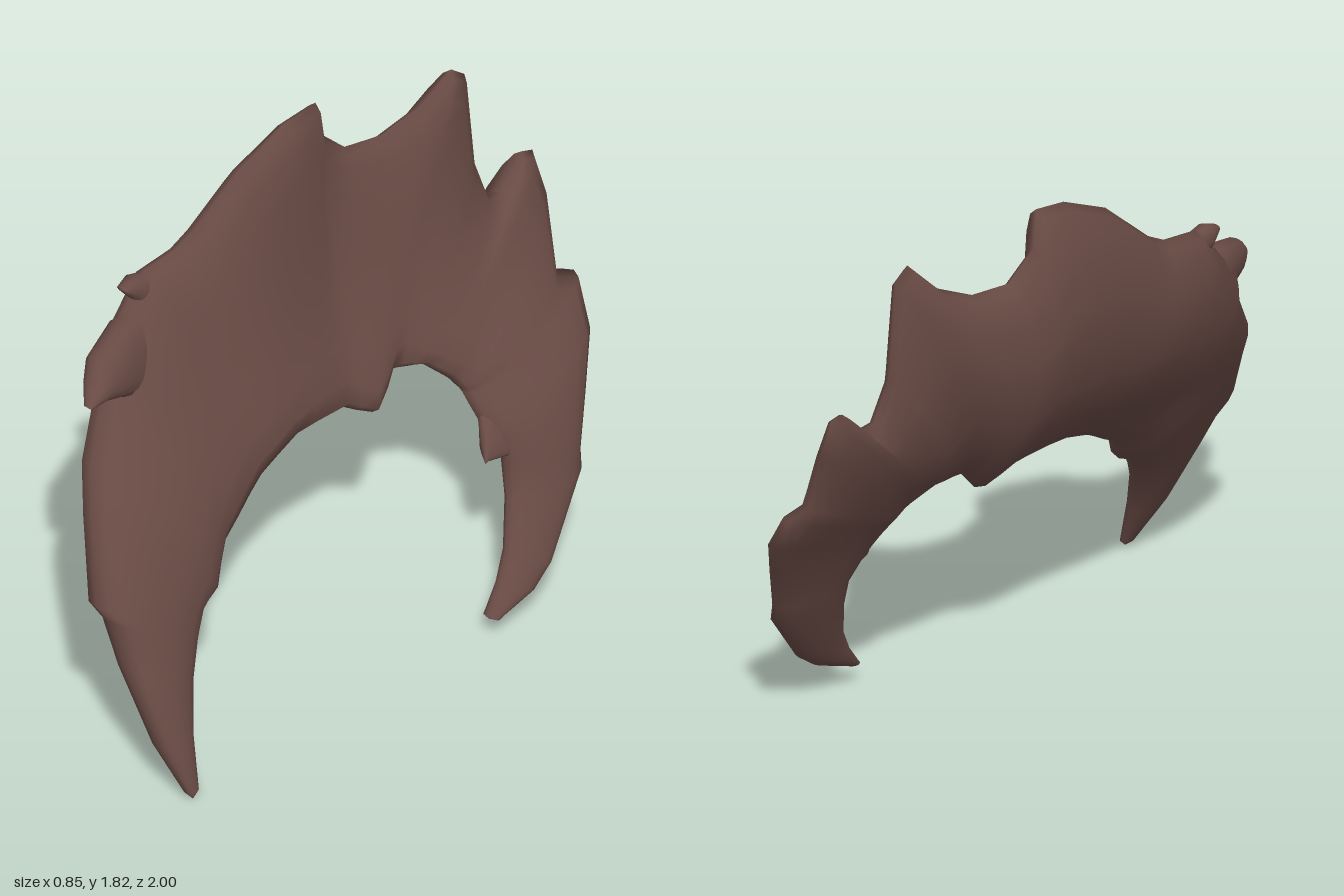
import * as THREE from 'three';

const SIDES = 20;
const { clamp, lerp, smoothstep } = THREE.MathUtils;

// smooth curve through [input, output] pairs in rising order
function curve(points, v) {
  const last = points.length - 1;
  let i = 1;
  while (i < last && v > points[i][0]) i++;
  const slope = (k) => {
    const a = points[Math.max(k - 1, 0)], b = points[Math.min(k + 1, last)];
    return (b[1] - a[1]) / (b[0] - a[0]);
  };
  const [a, p] = points[i - 1], [b, q] = points[i];
  const w = b - a, t = clamp((v - a) / w, 0, 1), u = 1 - t;
  return u * u * (1 + 2 * t) * p + t * t * (1 + 2 * u) * q + w * t * u * (u * slope(i - 1) - t * slope(i));
}

// sideways lean of the whole piece: one curve over height, one over depth
const leanY = [[0, 0.345], [0.2, 0.255], [0.4, 0.16], [0.6, 0.06], [0.82, -0.045], [1, -0.15], [1.2, -0.235], [1.5, -0.285], [1.8, -0.265]];
const leanZ = [[-1, 0.23], [-0.7, 0.17], [-0.4, 0.08], [-0.2, 0.01], [0, -0.005], [0.4, -0.06], [0.7, -0.085], [1, -0.085]];
const middle = (y, z) => curve(leanY, y) + curve(leanZ, z);

// skin over stations [outer z, outer y, inner z, inner y, half thickness, sideways shift]
function loft(name, stations, material) {
  const pos = [], index = [];
  stations.forEach(([oz, oy, iz, iy, half, shift = 0], s) => {
    // high outer edges are sharp, the edges of the horns are blunt
    const outerPower = lerp(0.75, 1.15, smoothstep(oy, 0.9, 1.4));
    for (let k = 0; k < SIDES; k++) {
      const a = (k / SIDES) * Math.PI * 2;
      const t = (1 + Math.cos(a)) / 2, sn = Math.sin(a);
      const z = iz + (oz - iz) * t, y = iy + (oy - iy) * t;
      const bulge = Math.sign(sn) * Math.abs(sn) ** (t > 0.5 ? outerPower : 0.85);
      pos.push(middle(y, z) + shift + half * bulge, y, z);
      if (s === stations.length - 1) continue;
      const p = s * SIDES + k, q = s * SIDES + (k + 1) % SIDES;
      index.push(p, q, p + SIDES, q, q + SIDES, p + SIDES);
    }
  });
  const geo = new THREE.BufferGeometry();
  geo.setAttribute('position', new THREE.Float32BufferAttribute(pos, 3));
  geo.setIndex(index);
  geo.computeVertexNormals();
  const mesh = new THREE.Mesh(geo, material);
  mesh.name = name;
  return mesh;
}

export function createModel() {
  const group = new THREE.Group();
  group.name = 'hornedArch';
  const brown = new THREE.MeshStandardMaterial({ color: 0x684a44 });
  brown.name = 'dark brown';

  // front horn, sweeping up from its tip
  const frontHorn = [
    [0.89, 0.005, 0.89, 0.005, 0], [0.91, 0.03, 0.86, 0.03, 0.02],
    [0.96, 0.2, 0.82, 0.19, 0.055], [0.98, 0.45, 0.75, 0.33, 0.075],
    [0.97, 0.59, 0.68, 0.43, 0.09], [1.0, 0.65, 0.62, 0.5, 0.1],
    [0.9, 0.87, 0.55, 0.53, 0.115], [0.82, 1.0, 0.51, 0.59, 0.125],
    [0.68, 1.18, 0.47, 0.64, 0.125],
  ];
  // broad crest with its two tall peaks
  const crest = [
    [0.64, 1.3, 0.4, 0.68, 0.125], [0.52, 1.42, 0.33, 0.725, 0.125],
    [0.46, 1.49, 0.27, 0.76, 0.125], [0.32, 1.51, 0.19, 0.79, 0.125],
    [0.25, 1.55, 0.1, 0.82, 0.125], [0.08, 1.71, 0.02, 0.82, 0.12],
    [-0.1, 1.8, -0.06, 0.815, 0.11], [-0.22, 1.82, -0.12, 0.81, 0.1],
    [-0.24, 1.69, -0.16, 0.785, 0.095], [-0.33, 1.6, -0.21, 0.76, 0.095],
    [-0.46, 1.6, -0.26, 0.81, 0.09], [-0.58, 1.66, -0.3, 0.86, 0.09],
    [-0.68, 1.77, -0.33, 0.86, 0.09], [-0.73, 1.73, -0.36, 0.856, 0.09],
    [-0.76, 1.4, -0.385, 0.853, 0.085], [-0.79, 1.25, -0.41, 0.85, 0.08],
  ];
  // rear spur and the rear horn, curling down to its tip
  const rearHorn = [
    [-0.85, 1.24, -0.43, 0.83, 0.08], [-0.94, 1.34, -0.47, 0.79, 0.08],
    [-0.98, 1.33, -0.48, 0.775, 0.08], [-0.995, 1.2, -0.485, 0.765, 0.08],
    [-0.93, 0.96, -0.495, 0.75, 0.08], [-1.0, 0.935, -0.5, 0.735, 0.075],
    [-0.96, 0.8, -0.505, 0.68, 0.075, 0.015], [-0.87, 0.65, -0.52, 0.6, 0.07, 0.025],
    [-0.79, 0.48, -0.55, 0.52, 0.06, 0.01], [-0.78, 0.42, -0.52, 0.4, 0.05],
    [-0.58, 0.19, -0.46, 0.26, 0.04], [-0.5, 0.13, -0.4, 0.17, 0.035],
    [-0.36, 0.075, -0.335, 0.09, 0.025], [-0.34, 0.08, -0.34, 0.08, 0],
  ];
  group.add(loft('archBody', [...frontHorn, ...crest, ...rearHorn], brown));

  // overhanging spikes along the edges, rooted inside the body
  const spikes = {
    frontSpike: [[0.46, 1.1, 0.42, 1.36, 0.04], [0.6, 1.13, 0.58, 1.38, 0.075, 0.02], [0.68, 1.18, 0.73, 1.33, 0.065, 0.05],
      [0.76, 1.215, 0.79, 1.28, 0.045, 0.075], [0.83, 1.225, 0.84, 1.235, 0.015, 0.095], [0.835, 1.23, 0.835, 1.23, 0, 0.1]],
    upperFrontSpike: [[0.38, 1.3, 0.34, 1.46, 0.03], [0.5, 1.4, 0.5, 1.495, 0.04],
      [0.54, 1.45, 0.55, 1.475, 0.02], [0.55, 1.465, 0.55, 1.465, 0]],
    rearHornSpur: [[-0.66, 0.54, -0.62, 0.72, 0.03], [-0.55, 0.535, -0.52, 0.68, 0.035, 0.025],
      [-0.47, 0.55, -0.485, 0.62, 0.02, 0.05], [-0.455, 0.55, -0.455, 0.55, 0, 0.065]],
  };
  for (const [name, stations] of Object.entries(spikes)) group.add(loft(name, stations, brown));

  return group;
}
